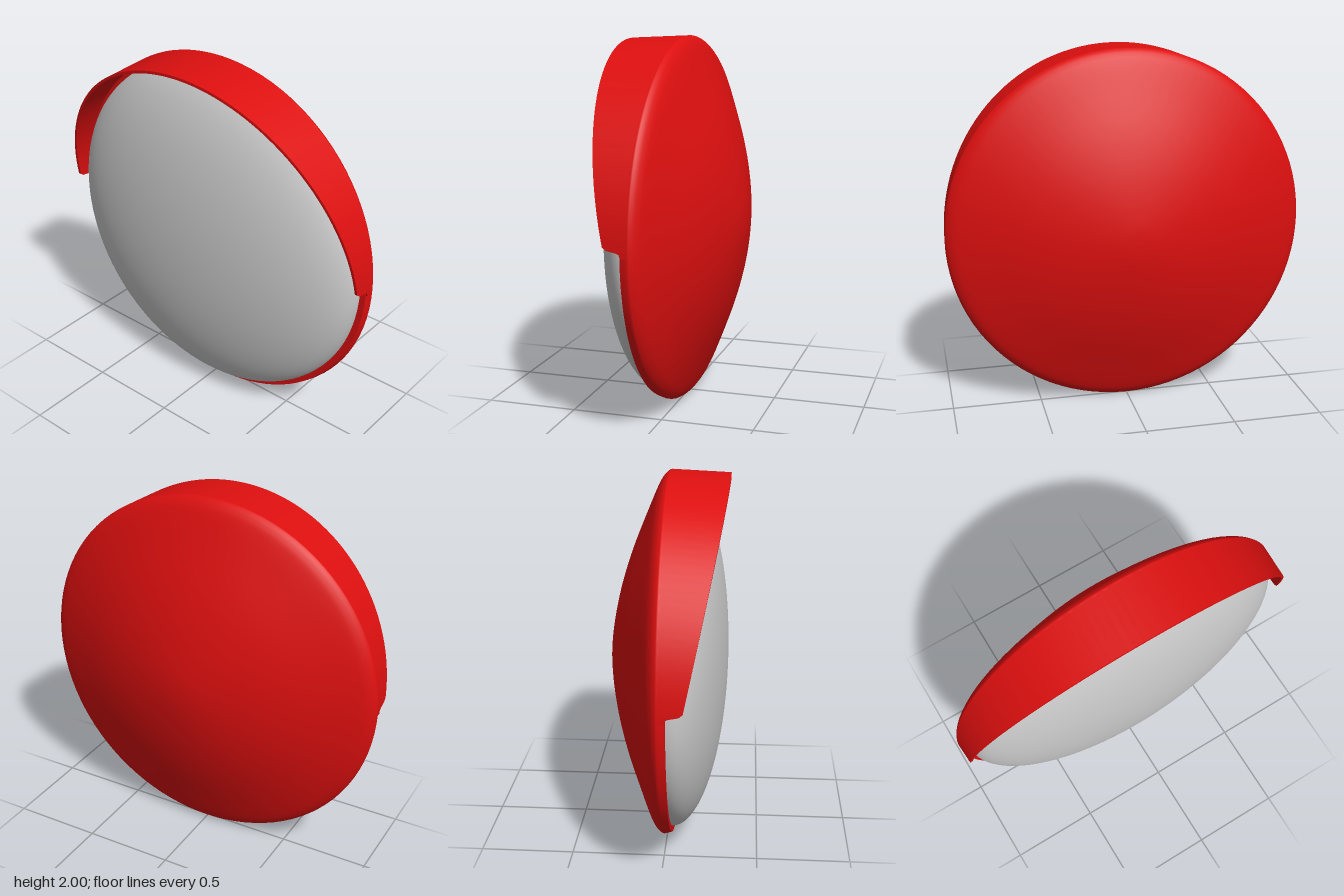
import * as THREE from 'three';

const SEGMENTS = 96;
const redPlastic = new THREE.MeshStandardMaterial({ color: 0xdd0f0f });
const mirrorGrey = new THREE.MeshStandardMaterial({ color: 0xcccccc });

// Lathe around the z axis from [radius, z] points, ordered back to front
function turned(name, points, material) {
  const profile = points.map(([r, z]) => new THREE.Vector2(r, z));
  const geometry = new THREE.LatheGeometry(profile, SEGMENTS).rotateX(Math.PI / 2);
  const mesh = new THREE.Mesh(geometry, material);
  mesh.name = name;
  return mesh;
}

// Front edge of the visor: slanted line with a small rounded step at its foot
function visorFront(height) {
  const step = [[-0.02, 0.035], [0, 0.042], [0.006, 0.06], [0.014, 0.105], [0.03, 0.126]];
  if (height <= step[0][0]) return step[0][1];
  for (let i = 1; i < step.length; i++) {
    const [h0, z0] = step[i - 1], [h1, z1] = step[i];
    if (height <= h1) return z0 + (z1 - z0) * (height - h0) / (h1 - h0);
  }
  return 0.12 + 0.2 * height;
}

// Thin, slightly tapered half ring, swept over the upper half of the rim
function visorGeometry() {
  const foot = [-0.02, 0, 0.003, 0.006, 0.01, 0.014, 0.03];
  const angles = [...foot];
  for (let i = 1; i < 64; i++) angles.push(0.03 + (Math.PI - 0.06) * i / 64);
  angles.push(...foot.map(a => Math.PI - a).reverse());

  const positions = [], indices = [];
  const section = angle => {
    const front = visorFront(Math.sin(angle));
    const at = (z, inset) => {
      const r = 1 - 0.045 * z - inset;
      return [r * Math.cos(angle), r * Math.sin(angle), z];
    };
    return [at(0, 0), at(front, 0), at(front, 0.015), at(0, 0.015)];
  };
  // Outer, edge and inner strips keep separate vertices for crisp edges
  for (let side = 0; side < 3; side++) {
    const start = positions.length / 3;
    angles.forEach((angle, i) => {
      const s = section(angle);
      positions.push(...s[side], ...s[side + 1]);
      if (i === 0) return;
      const b = start + 2 * i, a = b - 2;
      indices.push(a, b, b + 1, a, b + 1, a + 1);
    });
  }
  const geometry = new THREE.BufferGeometry();
  geometry.setAttribute('position', new THREE.Float32BufferAttribute(positions, 3));
  geometry.setIndex(indices);
  geometry.computeVertexNormals();
  return geometry;
}

export function createModel() {
  const group = new THREE.Group();
  group.name = 'convexMirror';

  // Shallow domed back with a rounded rim
  const back = new THREE.SplineCurve([
    [0, -0.32], [0.1, -0.315], [0.25, -0.292], [0.42, -0.253], [0.6, -0.196],
    [0.8, -0.117], [0.93, -0.062], [0.975, -0.035], [0.996, -0.012], [1, 0.005], [0.99, 0.04],
  ].map(([r, z]) => new THREE.Vector2(r, z)));
  const backPoints = back.getPoints(50).map(p => [Math.max(0, p.x), p.y]);
  group.add(turned('housing', backPoints, redPlastic));
  group.add(turned('rimFace', [[0.99, 0.04], [0.95, 0.04]], redPlastic));

  // Bulging mirror face
  const dome = [];
  for (let i = 0; i <= 32; i++) {
    const t = (i / 32) * Math.PI / 2;
    dome.push([i === 32 ? 0 : 0.957 * Math.cos(t), 0.04 + 0.28 * Math.sin(t)]);
  }
  group.add(turned('mirror', dome, mirrorGrey));

  const visor = new THREE.Mesh(visorGeometry(), redPlastic);
  visor.name = 'visor';
  visor.position.z = 0;
  group.add(visor);

  // Stand the disc on the ground
  group.children.forEach(part => { part.position.y = 1; });
  return group;
}
